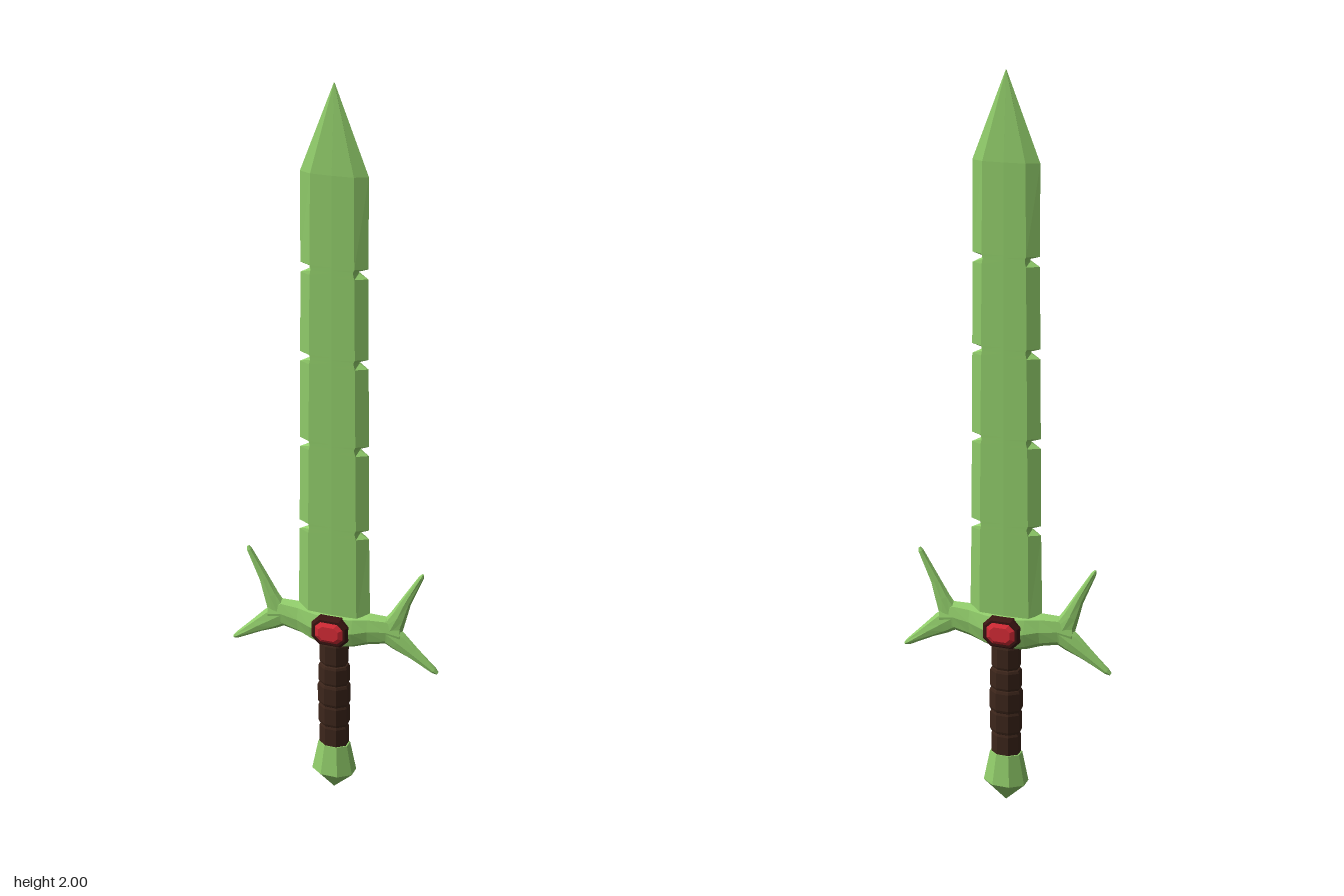
import * as THREE from 'three';

const paint = (color) => new THREE.MeshStandardMaterial({ color, flatShading: true });
const green = paint(0x92ce6b);
const brown = paint(0x3d261b);
const darkRim = paint(0x3a1512);
const red = paint(0xd52b36);

// Skins a row of equal-length rings (counter-clockwise about the travel direction) and caps both ends.
function loft(rings) {
  const pos = [];
  const tri = (a, b, c) => pos.push(...a, ...b, ...c);
  const n = rings[0].length;
  const middle = (ring) => [0, 1, 2].map((k) => ring.reduce((s, p) => s + p[k], 0) / n);
  const first = rings[0], last = rings[rings.length - 1];
  const c0 = middle(first), c1 = middle(last);
  for (let i = 0; i < n; i++) {
    const j = (i + 1) % n;
    for (let r = 0; r + 1 < rings.length; r++) {
      const a = rings[r], b = rings[r + 1];
      tri(a[i], a[j], b[j]);
      tri(a[i], b[j], b[i]);
    }
    tri(c0, first[j], first[i]);
    tri(c1, last[i], last[j]);
  }
  const geo = new THREE.BufferGeometry();
  geo.setAttribute('position', new THREE.Float32BufferAttribute(pos, 3));
  geo.computeVertexNormals();
  return geo;
}

// Eight points (u, v) around an ellipse
const oval = (hu, hv) => Array.from({ length: 8 }, (_, i) => {
  const t = (i * Math.PI) / 4;
  return [hu * Math.cos(t), hv * Math.sin(t)];
});

function add(parent, name, geometry, material) {
  const mesh = new THREE.Mesh(geometry, material);
  mesh.name = name;
  parent.add(mesh);
  return mesh;
}

// Bevelled blade with notched edges and a pointed tip
function bladeGeometry() {
  const ring = (y, w, b, t) => [
    [0, t], [b, t * 0.9], [w, 0], [b, -t * 0.9], [0, -t], [-b, -t * 0.9], [-w, 0], [-b, t * 0.9],
  ].map(([x, z]) => [x, y, z]);
  const width = (y) => 0.103 - (y - 0.54) * 0.0105;
  const rings = [ring(0.54, width(0.54), 0.07, 0.02)];
  for (const y of [0.81, 1.05, 1.29, 1.53]) {
    const w = width(y), b = w - 0.033;
    rings.push(ring(y - 0.016, w - 0.002, b, 0.02));
    rings.push(ring(y - 0.003, w - 0.027, b - 0.003, 0.02));
    rings.push(ring(y + 0.003, w - 0.027, b - 0.003, 0.02));
    rings.push(ring(y + 0.01, w - 0.002, b, 0.02));
  }
  rings.push(ring(1.775, 0.09, 0.057, 0.019), ring(2, 0.001, 0.0006, 0.0006));
  return loft(rings);
}

// Crossguard bar: x, bottom, top, half depth
function guardGeometry() {
  const half = [
    [0.0, 0.455, 0.57, 0.042], [0.03, 0.456, 0.57, 0.04], [0.06, 0.463, 0.571, 0.034],
    [0.1, 0.478, 0.573, 0.023], [0.15, 0.489, 0.572, 0.016], [0.19, 0.495, 0.55, 0.013],
  ];
  const mirrored = half.slice(1).reverse().map(([x, ...rest]) => [-x, ...rest]);
  return loft([...mirrored, ...half].map(([x, lo, hi, d]) =>
    oval((hi - lo) / 2, d).map(([u, v]) => [x, (lo + hi) / 2 + u, v])));
}

// Tapered prong along a path in the xy plane: x, y, half width, half depth
function prongGeometry(path, side) {
  const p = path.map(([x, y, w, d]) => [x * side, y, w, d]);
  return loft(p.map(([x, y, w, d], i) => {
    const a = p[Math.max(i - 1, 0)], b = p[Math.min(i + 1, p.length - 1)];
    const len = Math.hypot(b[0] - a[0], b[1] - a[1]);
    const tx = (b[0] - a[0]) / len, ty = (b[1] - a[1]) / len;
    return oval(w, d).map(([u, v]) => [x - ty * u, y + tx * u, v]);
  }));
}

// Chamfered rectangle stacked through z: half width, half height, z
function gemGeometry(levels) {
  return loft(levels.map(([w, h, z]) => [
    [w, -h * 0.5], [w, h * 0.5], [w * 0.6, h], [-w * 0.6, h],
    [-w, h * 0.5], [-w, -h * 0.5], [-w * 0.6, -h], [w * 0.6, -h],
  ].map(([x, y]) => [x, y + 0.515, z])));
}

// Eight-sided turned part, flattened in depth
function turned(profile, depth) {
  const pts = profile.map(([r, y]) => new THREE.Vector2(r, y));
  return new THREE.LatheGeometry(pts, 8, Math.PI / 8).scale(1, 1, depth);
}

export function createModel() {
  const sword = new THREE.Group();
  sword.name = 'sword';

  add(sword, 'blade', bladeGeometry(), green);

  // Crossguard with a forked end on each side
  const guard = new THREE.Group();
  guard.name = 'crossguard';
  sword.add(guard);
  add(guard, 'guardBar', guardGeometry(), green);
  const upper = [[0.155, 0.52, 0.036, 0.014], [0.183, 0.578, 0.023, 0.013],
    [0.203, 0.625, 0.015, 0.011], [0.245, 0.706, 0.007, 0.008], [0.249, 0.715, 0.003, 0.004]];
  const lower = [[0.145, 0.53, 0.036, 0.015], [0.185, 0.503, 0.031, 0.014],
    [0.225, 0.476, 0.021, 0.012], [0.285, 0.433, 0.009, 0.009], [0.296, 0.426, 0.004, 0.005]];
  for (const [side, label] of [[1, 'left'], [-1, 'right']]) {
    add(guard, label + 'UpperProng', prongGeometry(upper, side), green);
    add(guard, label + 'LowerProng', prongGeometry(lower, side), green);
  }

  // Gem and its setting, showing on both faces
  add(sword, 'gemSetting', gemGeometry([
    [0.045, 0.036, -0.044], [0.052, 0.042, -0.037], [0.052, 0.042, 0.037], [0.045, 0.036, 0.044],
  ]), darkRim);
  add(sword, 'gem', gemGeometry([
    [0.028, 0.02, -0.051], [0.041, 0.031, -0.043], [0.041, 0.031, 0.043], [0.028, 0.02, 0.051],
  ]), red);

  // Wrapped grip: bands separated by narrow grooves
  const grip = [[0, 0.14]];
  const cuts = [0.14, 0.21, 0.275, 0.34, 0.4, 0.47];
  const radii = [0.042, 0.045, 0.047, 0.045, 0.041];
  radii.forEach((r, i) => grip.push(
    [r - 0.003, cuts[i] + 0.001], [r, cuts[i] + 0.008],
    [r, cuts[i + 1] - 0.008], [r - 0.003, cuts[i + 1] - 0.001]));
  grip.push([0, 0.47]);
  add(sword, 'grip', turned(grip, 0.76), brown);

  // Faceted pommel ending in a point
  add(sword, 'pommel', turned([[0, 0], [0.064, 0.06], [0.046, 0.148], [0, 0.152]], 0.74), green);

  return sword;
}
